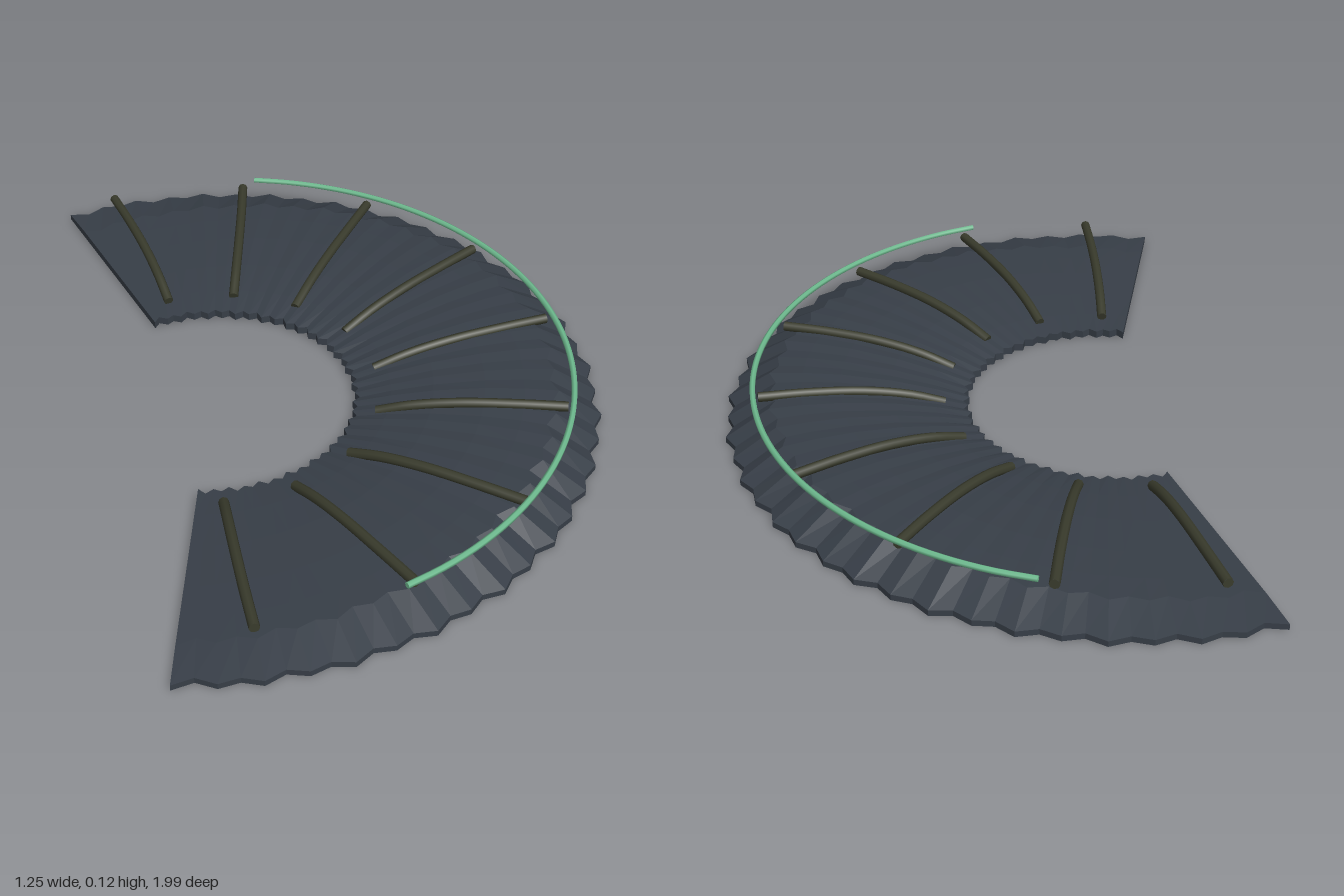
import * as THREE from 'three';

const CX = -0.373;                       // centre of the fan
const HALF = THREE.MathUtils.degToRad(105);
const PLEATS = 36;

const slate = new THREE.MeshStandardMaterial({ color: 0x373e47 });
slate.name = 'dark slate';
const olive = new THREE.MeshStandardMaterial({ color: 0x393b2c });
olive.name = 'dark olive';
const green = new THREE.MeshStandardMaterial({ color: 0x6fbc90 });
green.name = 'soft green';

const polar = (r, a, y) => new THREE.Vector3(CX + r * Math.cos(a), y, r * Math.sin(a));

// Rise of the fan: 0 at both ends, 1 in the middle
const rise = (a) => Math.max(0, (Math.cos(a) - Math.cos(HALF)) / (1 - Math.cos(HALF)));

// Arched radial cross-section at one angle; w is positive on a pleat crest, negative in a fold
function section(a, w) {
  const s = rise(a);
  const p = w * 0.002 * s;
  const outer = 0.986 + w * 0.013;
  return [
    [0.373 - w * 0.01, 0],
    [0.373 - w * 0.01, 0.02],
    [0.46, 0.02 + 0.024 * s + p],
    [0.57, 0.02 + 0.047 * s + p],
    [0.7, 0.02 + 0.063 * s + p],
    [0.8, 0.02 + 0.067 * s + p],
    [0.875 + w * 0.012, 0.02 + 0.065 * s + p],
    [outer, 0.015],
    [outer, 0],
  ].map(([r, y]) => polar(r, a, y));
}

// Pleated sheet: sections joined around the arc, with capped ends
function pleatedFan() {
  const steps = PLEATS * 2;
  const rows = [];
  for (let i = 0; i <= steps; i++) {
    const depth = 0.7 + 0.3 * Math.sin(i * 1.7);     // slightly uneven pleats
    rows.push(section(-HALF + (2 * HALF * i) / steps, i % 2 ? -depth : depth));
  }
  const n = rows[0].length;
  const pts = [];
  for (let i = 0; i < steps; i++) {
    for (let j = 0; j < n; j++) {
      const k = (j + 1) % n;
      const a = rows[i][j], b = rows[i][k], c = rows[i + 1][k], d = rows[i + 1][j];
      pts.push(a, d, c, a, c, b);
    }
  }
  const first = rows[0], last = rows[steps];
  for (let j = 1; j < n - 1; j++) {
    pts.push(first[0], first[j], first[j + 1]);
    pts.push(last[0], last[j + 1], last[j]);
  }
  const geo = new THREE.BufferGeometry().setFromPoints(pts);
  geo.computeVertexNormals();
  return geo;
}

// Round tube with closed ends
function rod(name, points, radius, segments, sides, material) {
  const group = new THREE.Group();
  group.name = name;
  const curve = new THREE.CatmullRomCurve3(points);
  group.add(new THREE.Mesh(new THREE.TubeGeometry(curve, segments, radius, sides), material));
  for (const t of [0, 1]) {
    const cap = new THREE.Mesh(new THREE.CircleGeometry(radius, sides), material);
    const dir = curve.getTangent(t).multiplyScalar(t ? 1 : -1);
    cap.position.copy(curve.getPoint(t));
    cap.quaternion.setFromUnitVectors(new THREE.Vector3(0, 0, 1), dir);
    group.add(cap);
  }
  group.children.forEach((m) => { m.name = name; });
  return group;
}

export function createModel() {
  const model = new THREE.Group();
  model.name = 'ribbedFan';

  const fan = new THREE.Mesh(pleatedFan(), slate);
  fan.name = 'pleatedFan';
  model.add(fan);

  // Nine identical arched ribs, each leaning slightly to one side
  const ribProfile = [[0.43, 0.032], [0.52, 0.06], [0.64, 0.08], [0.78, 0.088], [0.91, 0.089]];
  for (let i = -4; i <= 4; i++) {
    const a = THREE.MathUtils.degToRad(24 * i);
    const path = ribProfile.map(([r, y]) => polar(r, a - 0.037 * (r - 0.43) / 0.48, y));
    model.add(rod('rib', path, 0.013, 16, 8, olive));
  }

  // Thin hoop resting on the outer ends of the ribs
  const arc = [];
  for (let i = 0; i <= 24; i++) {
    arc.push(polar(0.923, THREE.MathUtils.degToRad(-72 + 6 * i), 0.108));
  }
  model.add(rod('outerHoop', arc, 0.008, 72, 6, green));

  return model;
}
